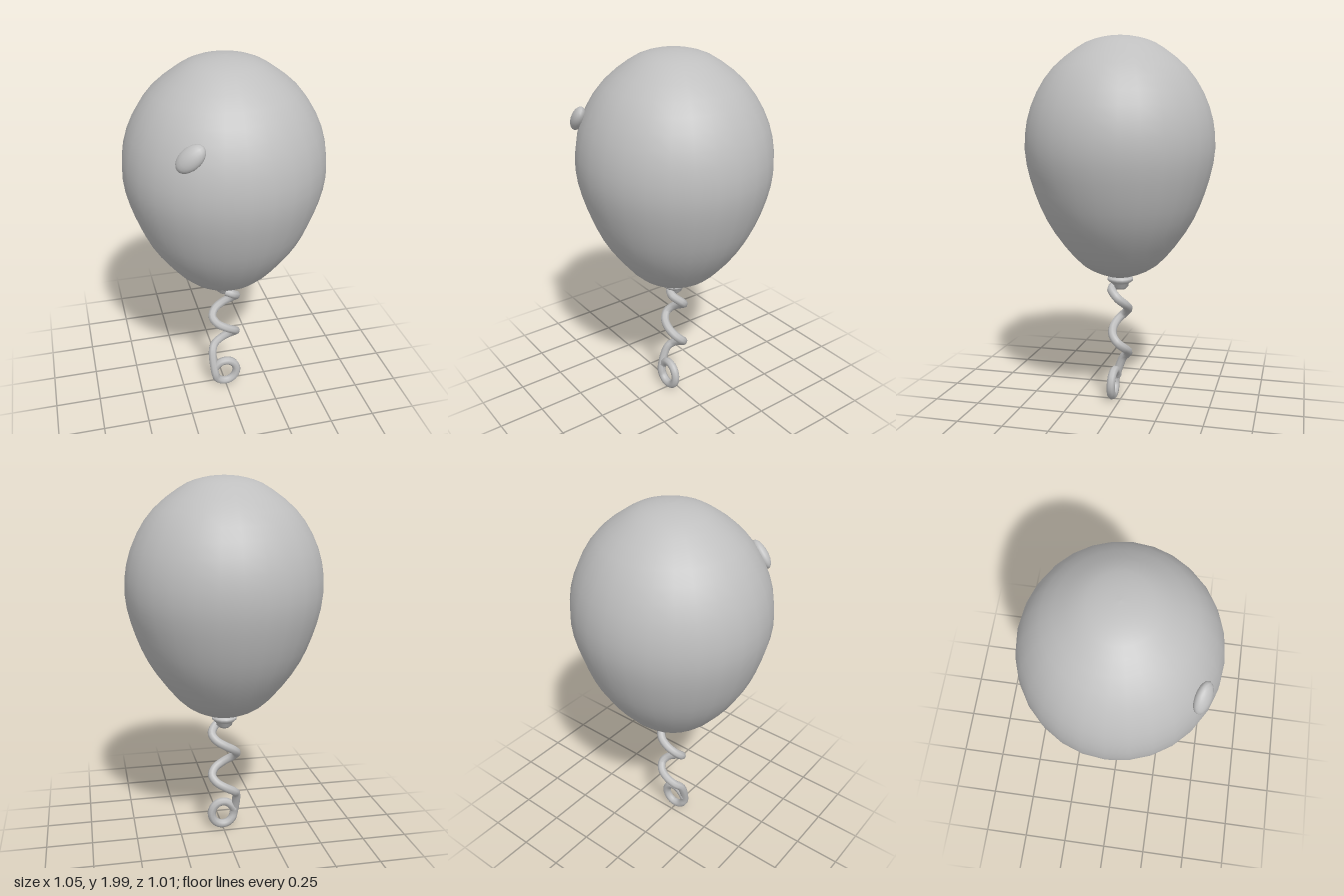
import * as THREE from 'three';

const vec2 = ([r, y]) => new THREE.Vector2(r, y);
const vec3 = (p) => new THREE.Vector3(...p);

export function createModel() {
  const group = new THREE.Group();
  const grey = new THREE.MeshStandardMaterial({ color: 0xbfbfbf });
  grey.name = 'balloon grey';

  const add = (name, geometry) => {
    const mesh = new THREE.Mesh(geometry, grey);
    mesh.name = name;
    group.add(mesh);
    return mesh;
  };

  // Balloon: smooth egg, slightly narrower front to back
  const profile = new THREE.SplineCurve([
    [0, 0.71], [0.11, 0.735], [0.235, 0.81], [0.385, 1.0], [0.475, 1.2], [0.52, 1.41],
    [0.49, 1.62], [0.385, 1.81], [0.22, 1.945], [0.1, 1.99], [0, 2],
  ].map(vec2)).getPoints(28);
  profile[0].x = profile[28].x = 0;
  const body = add('balloonBody', new THREE.LatheGeometry(profile, 28));
  body.scale.set(1.005, 1, 0.97);

  // Knot: rolled lip, neck and rounded end
  add('knot', new THREE.LatheGeometry([
    [0, 0.643], [0.028, 0.647], [0.044, 0.662], [0.046, 0.678], [0.058, 0.686],
    [0.07, 0.697], [0.07, 0.71], [0.05, 0.722], [0, 0.73],
  ].map(vec2), 16));

  // Curly string: flattened helix running into a loop at the bottom
  const path = [[0.0, 0.665, 0.03], [0.035, 0.652, 0.042]];
  const top = 0.61, pitch = 0.25;
  for (let i = 0; i <= 12; i++) {
    const a = (i / 12) * Math.PI * 3;
    path.push([0.07 * Math.cos(a), top - (pitch * a) / (2 * Math.PI), -0.042 * Math.sin(a)]);
  }
  for (let i = 0; i <= 9; i++) {
    const a = Math.PI + (i / 9) * Math.PI * 1.8;
    path.push([0.066 * Math.cos(a), 0.105 + 0.071 * Math.sin(a), 0.045 - 0.012 * (i / 9)]);
  }
  path.push([-0.066, 0.125, 0.035]);
  const curve = new THREE.CatmullRomCurve3(path.map(vec3));
  add('string', new THREE.TubeGeometry(curve, 90, 0.024, 8));

  // Raised oval highlight lying on the upper front
  const shine = add('highlight', new THREE.SphereGeometry(1, 18, 12));
  const normal = new THREE.Vector3(-0.48, 0.36, 0.8).normalize();
  const along = new THREE.Vector3(0.66, 0.6, 0.12);
  along.addScaledVector(normal, -along.dot(normal)).normalize();
  const across = new THREE.Vector3().crossVectors(normal, along);
  shine.quaternion.setFromRotationMatrix(new THREE.Matrix4().makeBasis(along, across, normal));
  shine.scale.set(0.083, 0.052, 0.035);
  shine.position.set(-0.255, 1.66, 0.408);

  return group;
}
